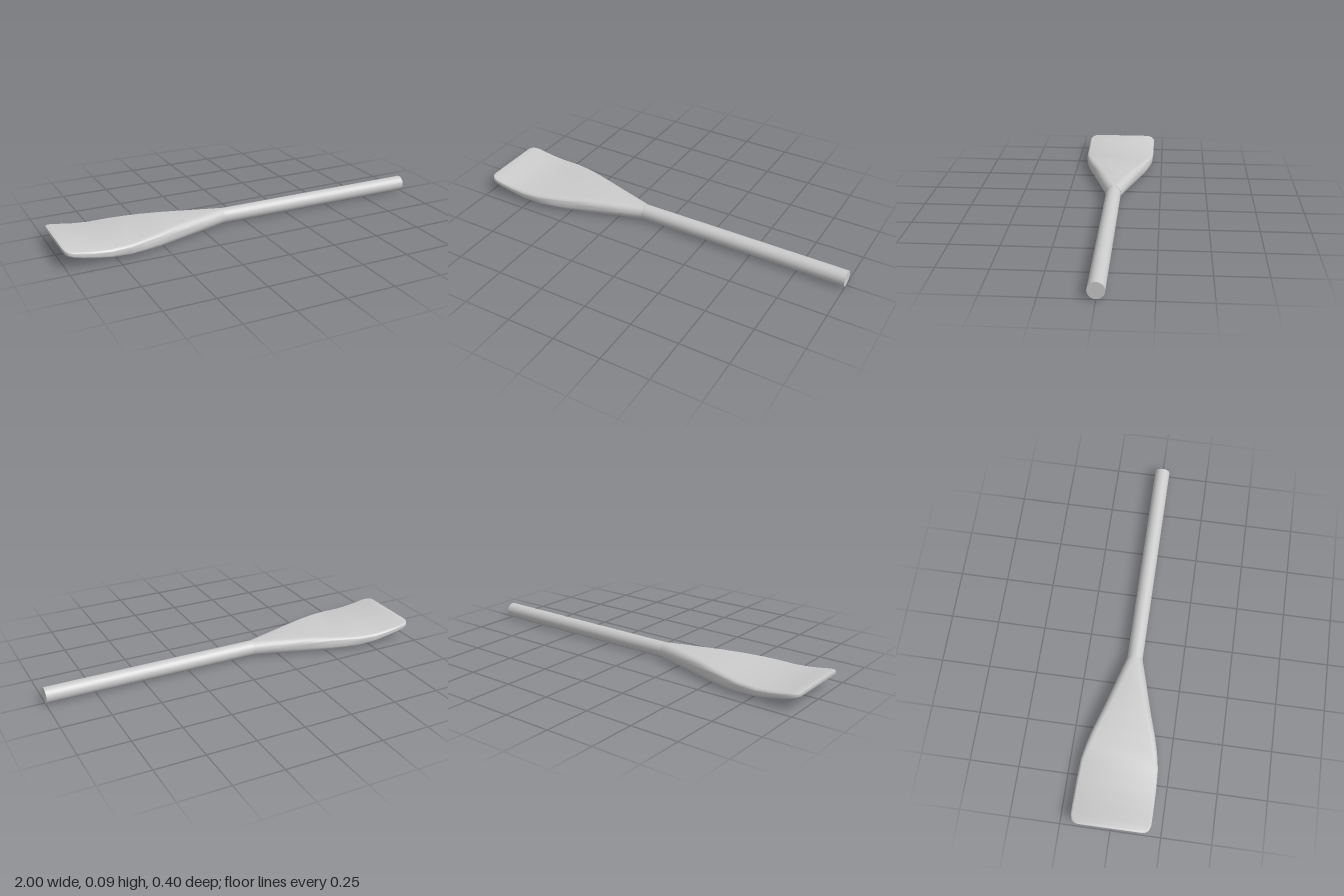
import * as THREE from 'three';
import { toCreasedNormals } from 'three/addons/utils/BufferGeometryUtils.js';

// Blade sections: x, half width, bottom y, top y, corner radius across z, corner radius share of half height
const SECTIONS = [
  [-0.12, 0.041, 0.001, 0.082, 0.041, 1],
  [-0.22, 0.070, 0.001, 0.082, 0.040, 0.95],
  [-0.32, 0.098, 0.000, 0.082, 0.037, 0.85],
  [-0.42, 0.127, 0.000, 0.081, 0.034, 0.75],
  [-0.52, 0.159, 0.002, 0.076, 0.030, 0.68],
  [-0.60, 0.179, 0.006, 0.071, 0.026, 0.62],
  [-0.68, 0.194, 0.010, 0.066, 0.022, 0.6],
  [-0.78, 0.198, 0.017, 0.062, 0.018, 0.6],
  [-0.86, 0.198, 0.030, 0.068, 0.016, 0.6],
  [-0.92, 0.198, 0.043, 0.076, 0.014, 0.6],
  [-0.96, 0.197, 0.053, 0.083, 0.013, 0.6],
  [-0.985, 0.188, 0.061, 0.087, 0.012, 0.7],
  [-0.996, 0.174, 0.067, 0.089, 0.011, 0.7],
  [-1.0, 0.158, 0.073, 0.089, 0.010, 0.7],
];
const CORNER_STEPS = 5;

// Rounded rectangle in the z-y plane
function ring([x, w, bottom, top, rz, share]) {
  const h = (top - bottom) / 2, mid = (top + bottom) / 2, ry = h * share;
  const points = [];
  [[1, 1], [-1, 1], [-1, -1], [1, -1]].forEach(([sz, sy], q) => {
    for (let k = 0; k <= CORNER_STEPS; k++) {
      const a = (q + k / CORNER_STEPS) * Math.PI / 2;
      points.push([x, mid + sy * (h - ry) + Math.sin(a) * ry, sz * (w - rz) + Math.cos(a) * rz]);
    }
  });
  return points;
}

function bladeGeometry() {
  const rings = SECTIONS.map(ring);
  const n = rings[0].length;
  const positions = rings.flat(2);
  const index = [];
  for (let i = 0; i < rings.length - 1; i++) {
    for (let j = 0; j < n; j++) {
      const a = i * n + j, b = i * n + (j + 1) % n;
      index.push(a, b, a + n, b, b + n, a + n);
    }
  }
  // Close the tip
  const last = (rings.length - 1) * n;
  for (let j = 1; j < n - 1; j++) index.push(last, last + j, last + j + 1);
  const geometry = new THREE.BufferGeometry();
  geometry.setAttribute('position', new THREE.Float32BufferAttribute(positions, 3));
  geometry.setIndex(index);
  return toCreasedNormals(geometry, 0.6);
}

export function createModel() {
  const group = new THREE.Group();
  group.name = 'paddle';
  const material = new THREE.MeshStandardMaterial({ color: 0xcccccc });

  // Round handle along x
  const handleGeometry = new THREE.CylinderGeometry(0.04, 0.04, 1.12, 24);
  handleGeometry.rotateZ(Math.PI / 2);
  const handle = new THREE.Mesh(handleGeometry, material);
  handle.name = 'handle';
  handle.position.set(0.44, 0.0415, 0);

  // Flared blade with an upturned tip
  const blade = new THREE.Mesh(bladeGeometry(), material);
  blade.name = 'blade';

  group.add(handle, blade);
  return group;
}
